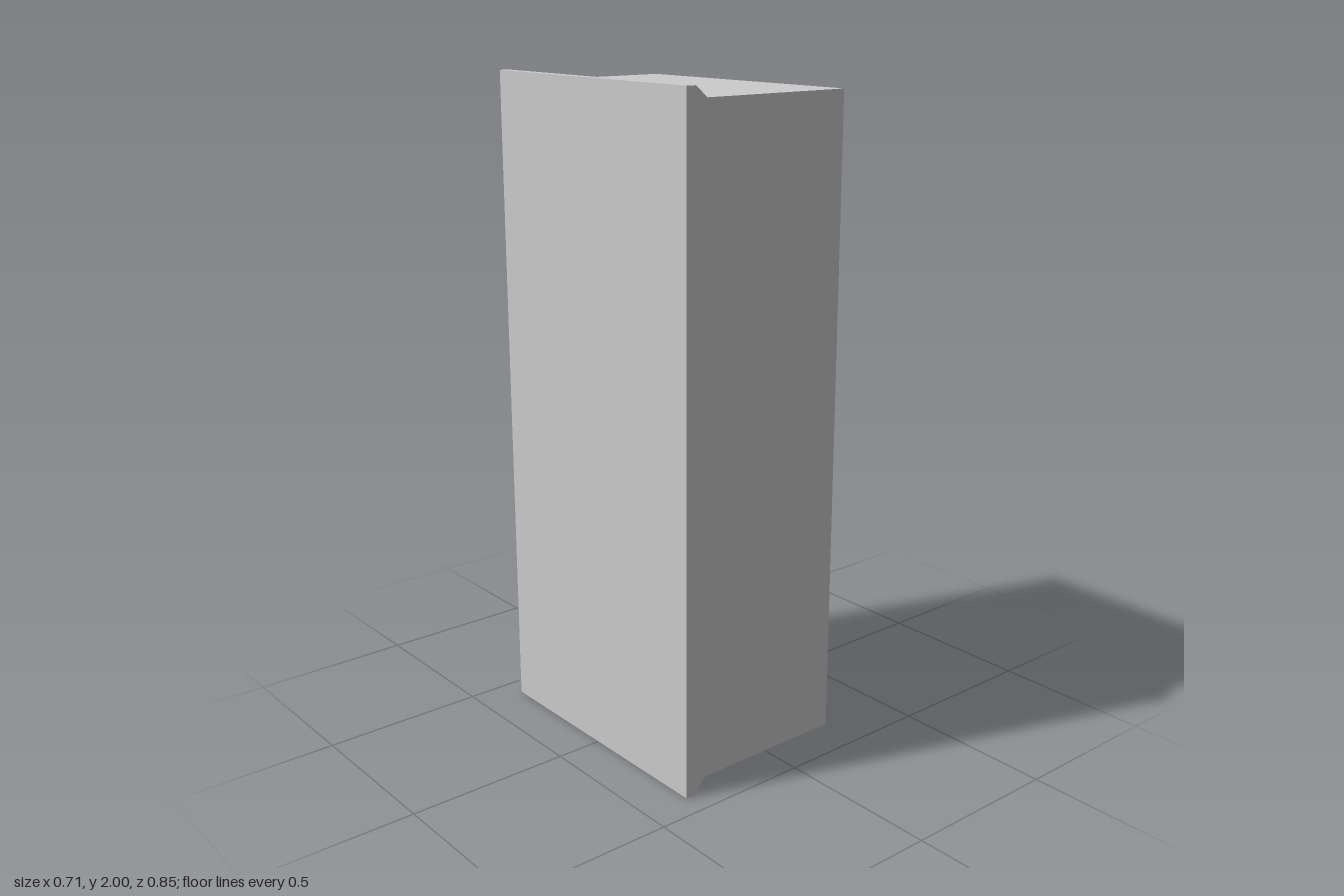
import * as THREE from 'three';
import { toCreasedNormals } from 'three/addons/utils/BufferGeometryUtils.js';

const material = new THREE.MeshStandardMaterial({ color: 0xcccccc });

// Closed solid through rectangles along x; each section is [x, yMin, yMax, halfDepth]
function loftRectangles(sections) {
  const rings = sections.map(([x, y0, y1, z]) => [[x, y0, z], [x, y0, -z], [x, y1, -z], [x, y1, z]]);
  const points = [];
  const quad = (a, b, c, d) => points.push(...a, ...b, ...c, ...a, ...c, ...d);
  for (let s = 0; s < rings.length - 1; s++) {
    const a = rings[s], b = rings[s + 1];
    for (let i = 0; i < 4; i++) {
      const j = (i + 1) % 4;
      quad(a[i], a[j], b[j], b[i]);
    }
  }
  const first = rings[0], last = rings[rings.length - 1];
  quad(first[3], first[2], first[1], first[0]);
  quad(...last);
  const geometry = new THREE.BufferGeometry();
  geometry.setAttribute('position', new THREE.Float32BufferAttribute(points, 3));
  geometry.computeVertexNormals();
  return geometry;
}

export function createModel() {
  const model = new THREE.Group();
  model.name = 'wallSwitchBox';
  const add = (name, geometry) => {
    const mesh = new THREE.Mesh(geometry, material);
    mesh.name = name;
    model.add(mesh);
    return mesh;
  };

  // Housing with a flared mounting rim at the back
  add('housing', loftRectangles([
    [-0.357, 0, 2, 0.427],
    [-0.327, 0, 2, 0.427],
    [-0.276, 0.035, 1.967, 0.413],
    [0.214, 0.035, 1.967, 0.413],
  ]));

  // Raised face plate
  add('facePlate', loftRectangles([
    [0.21, 0.297, 1.708, 0.304],
    [0.267, 0.297, 1.708, 0.304],
  ]));

  // Switch, bevelled at top and bottom only
  add('switch', loftRectangles([
    [0.262, 0.517, 0.95, 0.091],
    [0.304, 0.517, 0.95, 0.091],
    [0.319, 0.532, 0.935, 0.091],
  ]));

  // Round knob with a bevelled rim
  const profile = [[0, 0], [0.168, 0], [0.168, 0.063], [0.137, 0.095], [0, 0.095]]
    .map(([r, h]) => new THREE.Vector2(r, h));
  const knob = add('knob', toCreasedNormals(new THREE.LatheGeometry(profile, 48), 0.5));
  knob.rotation.z = -Math.PI / 2;
  knob.position.set(0.262, 1.228, 0);

  return model;
}
